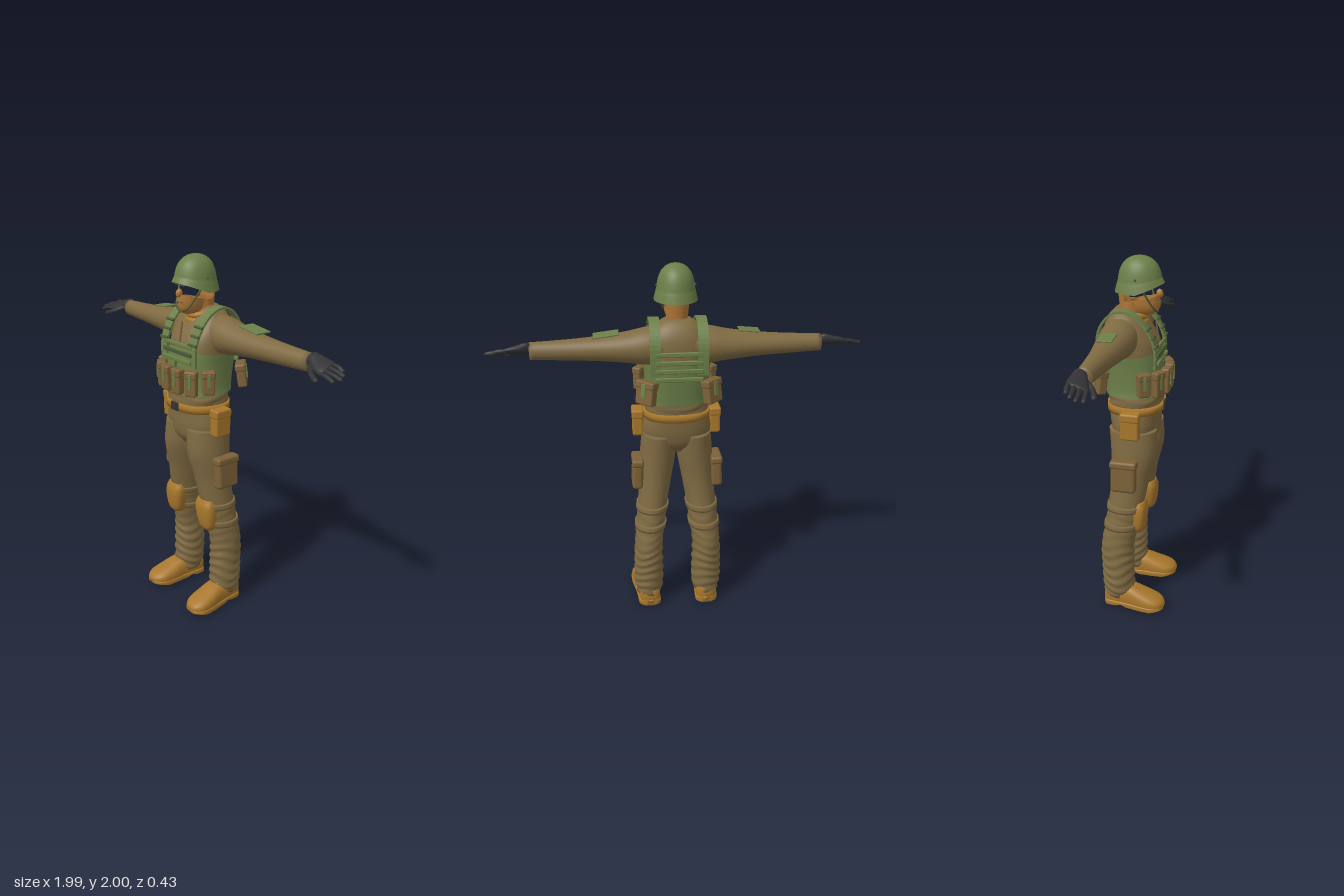
import * as THREE from 'three';
import { RoundedBoxGeometry } from 'three/addons/geometries/RoundedBoxGeometry.js';

const paint = (name, color, side = THREE.FrontSide) => {
  const m = new THREE.MeshStandardMaterial({ color, side });
  m.name = name;
  return m;
};

// Hermite interpolation of key rows [t, centre1, centre2, radius1, radius2]
function sample(keys, t) {
  let i = 0;
  while (i < keys.length - 2 && t > keys[i + 1][0]) i++;
  const a = keys[i], b = keys[i + 1], p = keys[Math.max(i - 1, 0)], q = keys[Math.min(i + 2, keys.length - 1)];
  const h = b[0] - a[0], s = (t - a[0]) / h, s2 = s * s, s3 = s2 * s;
  return [1, 2, 3, 4].map(k => {
    const m0 = (b[k] - p[k]) / (b[0] - p[0]), m1 = (q[k] - a[k]) / (q[0] - a[0]);
    return (2 * s3 - 3 * s2 + 1) * a[k] + (s3 - 2 * s2 + s) * h * m0 + (3 * s2 - 2 * s3) * b[k] + (s3 - s2) * h * m1;
  });
}

// Skin over superellipse cross-sections stacked along an axis
function loft(keys, { axis = 'y', from = keys[0][0], to = keys[keys.length - 1][0], grow = 0, n = 2, seg = 32, steps = 24, caps = true, ripple, rule } = {}) {
  const pos = [], idx = [];
  const place = (t, u, v) => {
    const p = axis === 'y' ? [u, t, v] : axis === 'x' ? [t, u, v] : [u, v, t];
    pos.push(...(rule ? rule(p) : p));
  };
  const tri = (a, b, c) => (axis === 'y' ? idx.push(a, c, b) : idx.push(a, b, c));
  const pw = v => Math.sign(v) * Math.pow(Math.abs(v), 2 / n);
  for (let j = 0; j <= steps; j++) {
    const t = from + (to - from) * j / steps, [c1, c2, r1, r2] = sample(keys, t);
    for (let i = 0; i < seg; i++) {
      const a = i / seg * Math.PI * 2, g = grow + (ripple ? ripple(t, a) : 0);
      place(t, c1 + (r1 + g) * pw(Math.cos(a)), c2 + (r2 + g) * pw(Math.sin(a)));
    }
  }
  for (let j = 0; j < steps; j++) for (let i = 0; i < seg; i++) {
    const a = j * seg + i, b = j * seg + (i + 1) % seg;
    tri(a, b, a + seg);
    tri(b, b + seg, a + seg);
  }
  if (caps) for (const [t, row, flip] of [[from, 0, true], [to, steps * seg, false]]) {
    const [c1, c2] = sample(keys, t), c = pos.length / 3;
    place(t, c1, c2);
    for (let i = 0; i < seg; i++) {
      const a = row + i, b = row + (i + 1) % seg;
      flip ? tri(c, b, a) : tri(c, a, b);
    }
  }
  const g = new THREE.BufferGeometry();
  g.setAttribute('position', new THREE.Float32BufferAttribute(pos, 3));
  g.setIndex(idx);
  g.computeVertexNormals();
  return g;
}

const box = (w, h, d, r = 0.01) => new RoundedBoxGeometry(w, h, d, 2, Math.min(r, w / 2.1, h / 2.1, d / 2.1));
const at = (g, x, y, z, rx = 0, ry = 0, rz = 0) => g.rotateX(rx).rotateZ(rz).rotateY(ry).translate(x, y, z);
const tube = (pts, r, seg = 12) => new THREE.TubeGeometry(new THREE.CatmullRomCurve3(pts.map(p => new THREE.Vector3(...p))), seg, r, 8);

function mirrored(geo) {
  const g = geo.clone().scale(-1, 1, 1);
  const ix = g.index ? Array.from(g.index.array) : Array.from({ length: g.attributes.position.count }, (_, i) => i);
  for (let i = 0; i < ix.length; i += 3) [ix[i + 1], ix[i + 2]] = [ix[i + 2], ix[i + 1]];
  g.setIndex(ix);
  return g;
}

// Flat band following a [z, y] path, extruded across x
function band(path, width, thick) {
  const pts = new THREE.SplineCurve(path.map(p => new THREE.Vector2(...p))).getPoints(30);
  const inner = pts.map((p, i) => {
    const d = pts[Math.min(i + 1, 30)].clone().sub(pts[Math.max(i - 1, 0)]).normalize();
    return new THREE.Vector2(p.x - d.y * thick, p.y + d.x * thick);
  });
  const g = new THREE.ExtrudeGeometry(new THREE.Shape([...pts, ...inner.reverse()]), { depth: width, bevelEnabled: false });
  return g.rotateY(-Math.PI / 2).translate(width / 2, 0, 0);
}

export function createModel() {
  const model = new THREE.Group();
  const D = THREE.DoubleSide;
  const cloth = paint('brown cloth', 0x7f6a42), green = paint('olive green', 0x6c7f48, D), tan = paint('tan leather', 0xa8772c);
  const pouchMat = paint('pouch brown', 0x7c6138), black = paint('black', 0x333336);
  const darkGreen = paint('dark olive', 0x4c5a38, D), skin = paint('skin', 0xae7636, D);
  const add = (name, mat, geo) => {
    const m = new THREE.Mesh(geo, mat);
    m.name = name;
    model.add(m);
  };
  const pair = (name, mat, geo) => {
    add(name + 'Left', mat, geo);
    add(name + 'Right', mat, mirrored(geo));
  };

  // Jacket, trousers and sleeves
  const torso = [[1.19, 0, .005, .165, .14], [1.25, 0, .007, .175, .145], [1.32, 0, .0, .165, .145], [1.45, 0, -.01, .165, .152],
    [1.56, 0, -.02, .17, .146], [1.64, 0, -.04, .16, .12], [1.7, 0, -.05, .12, .085], [1.735, 0, -.05, .07, .05]];
  add('jacket', cloth, loft(torso, { n: 2.4, steps: 36, ripple: (y, a) => y < 1.3 ? .004 * Math.sin(y * 130 + 2 * Math.sin(a * 3)) : 0 }));
  add('pelvis', cloth, loft([[.975, 0, .015, .06, .07], [1.03, 0, .012, .17, .115], [1.1, 0, .008, .19, .132], [1.16, 0, .005, .185, .136], [1.22, 0, .005, .168, .14]], { n: 2.3 }));
  const leg = [[.07, .17, -.055, .072, .085], [.14, .171, -.057, .083, .09], [.25, .17, -.06, .083, .092], [.4, .168, -.062, .08, .094],
    [.52, .155, -.042, .083, .095], [.65, .14, -.02, .085, .1], [.8, .12, 0, .09, .107], [.95, .104, .015, .1, .126], [1.09, .094, .008, .097, .13]];
  const folds = (y, a) => (y < .38 ? .0045 : y < .62 ? .0015 : 0) * Math.sin(y * 110 + 2.2 * Math.sin(a * 2 + y * 9));
  pair('trouserLeg', cloth, loft(leg, { steps: 80, ripple: folds }));
  const arm = [[.06, 1.6, -.055, .1, .1], [.17, 1.593, -.055, .098, .1], [.25, 1.59, -.055, .083, .093], [.4, 1.587, -.055, .065, .074],
    [.55, 1.585, -.056, .055, .057], [.76, 1.585, -.057, .045, .041]];
  pair('sleeve', cloth, loft(arm, { axis: 'x', steps: 30 }));
  add('jacketPlacket', pouchMat, at(box(.012, .16, .008, .003), 0, 1.585, .123, -.17));

  // Gloves
  const tilt = ([x, y, z]) => [x, y - (z + .055) * .35, z];
  pair('gloveHand', black, loft([[.755, 1.6, -.06, .022, .024], [.775, 1.6, -.06, .03, .03], [.82, 1.593, -.053, .025, .042], [.87, 1.588, -.046, .018, .05], [.89, 1.585, -.046, .013, .046]], { axis: 'x', n: 2.4, rule: tilt, seg: 20 }));
  [[-.084, .945], [-.058, .975], [-.031, .985], [-.005, .965]].forEach(([z, tip], i) => {
    const y = 1.586 - (z + .055) * .35, z2 = z * 1.05 + .014;
    pair('gloveFinger' + (i + 1), black, tube([[.865, y, z], [.92, y - .003, (z + z2) / 2], [tip, y - .014, z2]], .011, 8));
    pair('gloveFingertip' + (i + 1), black, at(new THREE.SphereGeometry(.011, 10, 8), tip, y - .014, z2));
  });
  pair('gloveThumb', black, tube([[.79, 1.583, -.035], [.835, 1.56, .01], [.885, 1.543, .03]], .013, 8));
  pair('gloveThumbTip', black, at(new THREE.SphereGeometry(.013, 10, 8), .885, 1.543, .03));

  // Boots with flattened soles
  const boot = [[-.14, .168, .06, .03, .045], [-.125, .169, .062, .056, .066], [-.07, .172, .065, .063, .075], [.02, .18, .062, .066, .076],
    [.1, .187, .048, .074, .062], [.165, .192, .042, .07, .044], [.2, .194, .04, .05, .03], [.215, .194, .04, .025, .015]];
  pair('boot', tan, loft(boot, { axis: 'z', n: 2.5, rule: ([x, y, z]) => [x, Math.max(y, .018), z] }));
  pair('bootSole', tan, loft(boot.map(([z, x, , rx]) => [z, x, .02, rx + .004, .02]), { axis: 'z', n: 5,
    rule: ([x, y, z]) => [x, y < .02 ? y + .012 * Math.exp(-Math.pow((z + .035) / .022, 2)) + Math.max(0, z - .14) * .25 : y, z] }));
  pair('bootCuff', tan, loft([[.06, .171, -.045, .068, .085], [.14, .171, -.05, .06, .08]], { steps: 4 }));
  for (let i = 0; i < 4; i++) pair('bootLace' + (i + 1), tan, at(box(.06, .009, .012, .004), .182 + i * .002, .137 - i * .011, .025 + i * .024, .45));

  // Knee pads and their straps
  pair('kneePad', tan, loft([[.485, .148, .045, .03, .025], [.51, .148, .048, .052, .04], [.58, .144, .055, .067, .046], [.64, .14, .06, .068, .04], [.675, .138, .06, .055, .025]], { n: 2.6 }));
  [.525, .635].forEach((y, i) => pair('kneeStrap' + (i + 1), cloth, loft(leg, { from: y - .017, to: y + .017, grow: .008, steps: 3 })));

  // Thigh bags and hip pouches
  pair('thighBag', pouchMat, at(box(.06, .17, .14, .02), .222, .845, -.015, 0, 0, .04));
  pair('thighBagFlap', pouchMat, at(box(.066, .045, .15, .015), .22, .92, -.015, 0, 0, .04));
  pair('hipPouch', tan, at(box(.06, .14, .1, .012), .213, 1.14, .02));
  pair('hipPouchFlap', tan, at(box(.066, .05, .106, .012), .213, 1.195, .02));

  // Belt
  add('belt', tan, loft([[1.185, 0, .008, .185, .155], [1.228, 0, .008, .185, .155]], { n: 2.3, steps: 2 }));
  add('beltBuckle', black, at(box(.06, .046, .014, .004), 0, 1.207, .163));

  // Vest body, shoulder straps and webbing
  add('vestBody', green, loft(torso, { from: 1.285, to: 1.53, grow: .01, n: 2.5, caps: false,
    rule: ([x, y, z]) => [x, y > 1.4 ? y - (y - 1.4) * .2 * Math.pow(Math.abs(x) / .17, 2) : y, z] }));
  pair('vestStrap', green, at(band([[.14, 1.44], [.138, 1.55], [.095, 1.65], [.025, 1.72], [-.06, 1.74], [-.13, 1.7], [-.175, 1.61], [-.172, 1.46]], .055, .012), .123, 0, 0));
  [[1.56, .138, -.2], [1.605, .122, -.45], [1.65, .098, -.65]].forEach(([y, z, r], i) => pair('strapBuckle' + (i + 1), darkGreen, at(box(.062, .014, .016, .004), .123, y, z, r)));
  [1.465, 1.505, 1.545].forEach((y, i) => add('chestStrap' + (i + 1), i === 1 ? darkGreen : green, at(box(.24, .022, .014, .005), 0, y, .147 - i * .004)));
  [1.44, 1.485, 1.53, 1.575].forEach((y, i) => add('backStrap' + (i + 1), green, at(box(.25, .024, .014, .005), 0, y, -.171)));
  add('chestZip', darkGreen, at(box(.012, .17, .01, .003), 0, 1.37, .154));

  // Magazine pouches round the front and utility pouches on the back
  const pouch = (name, w, h, d, x, y, z, yaw, lean = 0) => {
    pair(name, pouchMat, at(box(w, h, d), x, y, z, lean, yaw));
    pair(name + 'Flap', pouchMat, at(box(w * 1.07, h * .32, d * 1.15).translate(0, h * .36, 0), x, y, z, lean, yaw));
    pair(name + 'Tab', green, at(box(w * .25, h * .6, .008, .003).translate(0, h * .12, d * .58), x, y, z, lean, yaw));
  };
  pouch('innerPouch', .066, .135, .042, .047, 1.36, .178, .05);
  pouch('outerPouch', .066, .135, .042, .132, 1.36, .152, .5);
  pouch('sidePouch', .066, .125, .045, .196, 1.37, .088, 1.0);
  pouch('backPouch', .11, .125, .05, .172, 1.37, -.158, Math.PI - .75, -.15);

  // Arm patches
  add('armPatchLeft', green, at(box(.135, .009, .09, .003), .37, 1.664, -.065, 0, 0, -.12));
  add('armPatchRight', green, at(box(.11, .009, .075, .003), -.375, 1.664, -.053, 0, 0, .1));

  // Scarf, neck and open lower face
  add('neck', skin, loft([[1.66, 0, -.035, .06, .06], [1.74, 0, -.025, .056, .06], [1.77, 0, -.02, .056, .062]], { caps: false, steps: 6 }));
  add('nape', skin, new THREE.CylinderGeometry(.07, .058, .13, 20, 1, true, Math.PI * .62, Math.PI * .76).translate(0, 1.785, -.025));
  add('lowerFace', skin, loft([[1.7, 0, .045, .03, .05], [1.715, 0, .05, .045, .07], [1.745, 0, .05, .057, .08], [1.785, 0, .05, .062, .08]], { caps: false, steps: 10,
    rule: ([x, y, z]) => [x, y + (y - 1.7) * Math.max(0, z - .07) * 4 - (y - 1.7) * Math.max(0, .05 - z) * 2.5, z] }));
  add('mouth', pouchMat, at(box(.05, .009, .012, .004), 0, 1.765, .126));
  add('nose', skin, at(new THREE.SphereGeometry(.018, 14, 10).scale(.9, 1.3, 1), 0, 1.81, .128, -.2));
  [[1.67, .066, .022], [1.7, .06, .018]].forEach(([y, r, t], i) =>
    add('scarf' + (i + 1), tan, at(new THREE.TorusGeometry(r, t, 10, 28).rotateX(Math.PI / 2), 0, y, -.015 + i * .005, .2)));

  // Helmet shell with flared, front-raised rim
  const profile = [[1.13, 0], [1.05, .2], [1, .3], [.97, .42], [.9, .6], [.77, .77], [.58, .89], [.36, .965], [.16, .995], [0.001, 1]];
  const shell = new THREE.LatheGeometry(new THREE.SplineCurve(profile.map(p => new THREE.Vector2(...p))).getPoints(28), 40);
  const p = shell.attributes.position;
  for (let i = 0; i < p.count; i++) {
    const x = p.getX(i), y = p.getY(i), z = p.getZ(i), low = 1 - y;
    p.setXYZ(i, x * .101, 1.815 + y * .185 + Math.max(0, z) * low * low * .045, .022 + z * .116);
  }
  shell.computeVertexNormals();
  add('helmet', green, shell);
  pair('helmetRivet', darkGreen, at(new THREE.SphereGeometry(.007, 8, 6), .1, 1.89, .02));
  pair('chinStrap', darkGreen, tube([[.098, 1.85, .05], [.075, 1.79, .08], [.05, 1.735, .11], [0, 1.712, .118]], .005, 14));

  return model;
}
